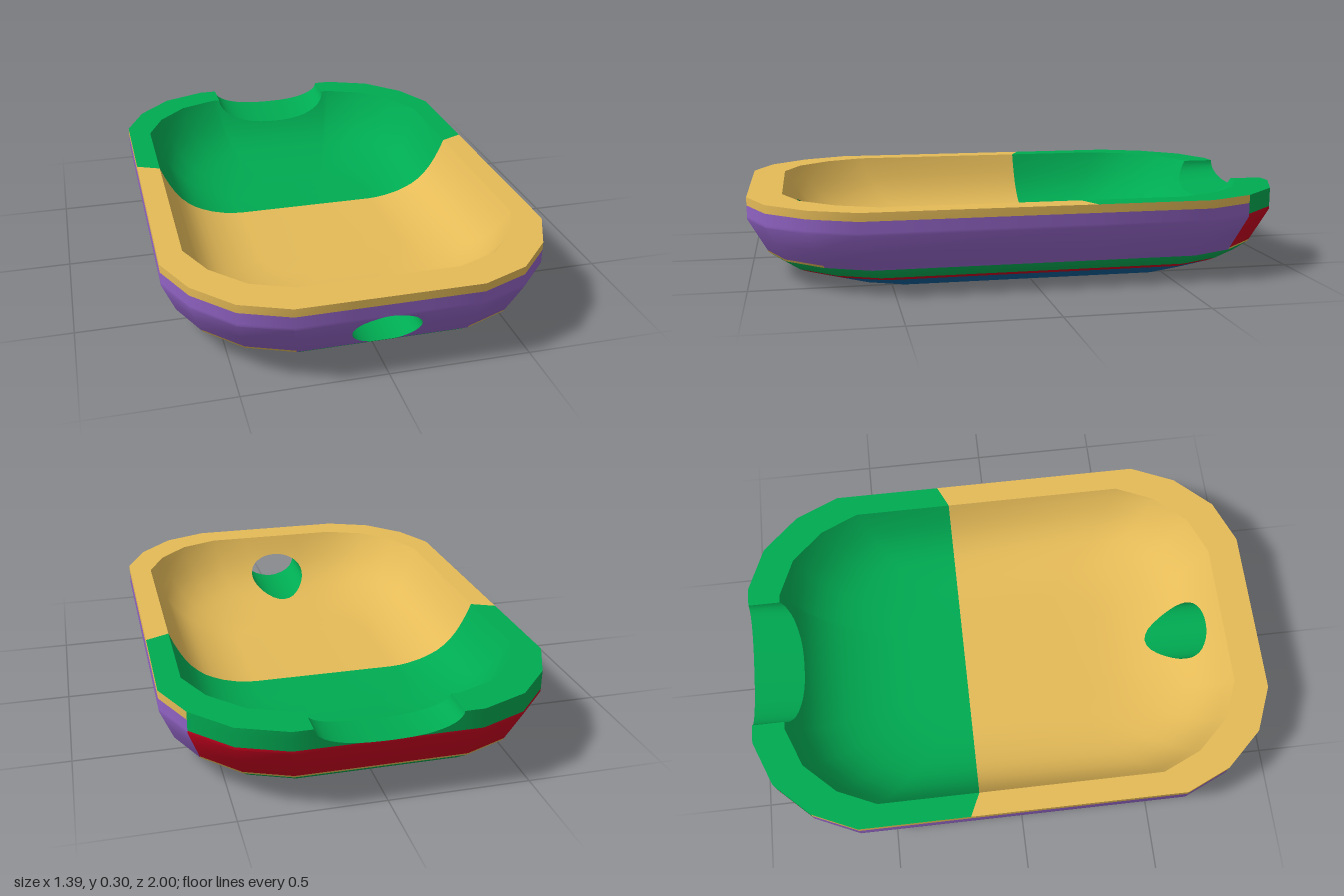
import * as THREE from 'three';
import { toCreasedNormals } from 'three/addons/utils/BufferGeometryUtils.js';

const palette = { tan: 0xe5bb58, green: 0x00ab52, purple: 0x9163c4, red: 0xcc0020, navy: 0x0e639c };
const names = Object.keys(palette);

// Profiles: [height, outline scale]
const outer = [[0, 0.735], [0.04, 0.85], [0.053, 0.88], [0.09, 0.93], [0.098, 0.934], [0.155, 0.965],
  [0.22, 1], [0.23, 1], [0.27, 1], [0.3, 1]];
const inner = [[0.3, 0.875], [0.26, 0.851], [0.22, 0.822], [0.185, 0.792], [0.155, 0.758], [0.13, 0.72], [0.11, 0.68],
  [0.095, 0.635], [0.08, 0.58], [0.068, 0.51], [0.062, 0.45], [0.06, 0.4]];

// Colours of the shell rows from the bottom up
const sideColors = ['navy', 'red', 'green', 'purple', 'purple', 'purple', 'purple', 'purple', 'tan'];
const cornerColors = ['navy', 'red', 'green', 'tan', 'purple', 'purple', 'purple', 'purple', 'tan'];
const backColors = ['navy', 'red', 'green', 'tan', 'red', 'red', 'red', 'green', 'green'];

const HOLE = { rx: 0.12, ry: 0.071, y: 0.155 };
const NOTCH = { half: 0.25, outerDepth: 0.073, innerDepth: 0.1 };
const SEAM = { outer: -0.2, inner: -0.16 };

// Outline columns, from the front centre round the left side to the back centre, then mirrored
function makeColumns() {
  const half = [];
  for (let j = 0; j <= 8; j++) {
    const a = j * Math.PI / 16;
    half.push({ x: HOLE.rx * Math.sin(a), z: 1, hole: HOLE.ry * Math.cos(a) });
  }
  for (const [x, z] of [[0.32, 1], [0.49, 0.93], [0.62, 0.79], [0.695, 0.62]]) half.push({ x, z });
  half.push({ x: 0.695, z: SEAM.inner, seam: true });
  for (const [x, z] of [[0.695, -0.62], [0.62, -0.79], [0.49, -0.93], [0.32, -1]]) half.push({ x, z });
  for (let j = 0; j <= 12; j++) {
    const t = j === 12 ? 0 : Math.cos(j * Math.PI / 24);
    half.push({ x: NOTCH.half * t, z: -1, drop: Math.sqrt(1 - t ** 2.5) });
  }
  const mirrored = half.slice(1, -1).reverse().map(c => ({ ...c, x: -c.x }));
  return [...half, ...mirrored];
}

function scaleAt(profile, y) {
  for (let i = 0; i < profile.length - 1; i++) {
    const [y0, s0] = profile[i], [y1, s1] = profile[i + 1];
    if ((y - y0) * (y - y1) <= 0) return s0 + (s1 - s0) * (y - y0) / (y1 - y0);
  }
  return profile[profile.length - 1][1];
}

// Surface point of a column at a height, cut down by the notch or kept off the hole
function pointAt(profile, col, y, branch = 0) {
  const inside = profile === inner;
  if (col.drop !== undefined) y = Math.min(y, 0.3 - col.drop * (inside ? NOTCH.innerDepth : NOTCH.outerDepth));
  if (branch < 0) y = Math.min(y, HOLE.y - col.hole);
  if (branch > 0) y = Math.max(y, HOLE.y + col.hole);
  const s = scaleAt(profile, y);
  let x = col.x * s, z = col.z * s;
  if (col.hole !== undefined) x = col.x;
  if (col.drop !== undefined) x = col.x * Math.min(1, s * 1.2);
  if (col.seam) z = inside ? SEAM.inner : SEAM.outer;
  return [x, y, z];
}

// Collects quads by colour and turns them into one creased mesh
class Surface {
  constructor() { this.tris = Object.fromEntries(names.map(n => [n, []])); }

  tri(color, a, b, c) {
    const v = [a, b, c].map(p => new THREE.Vector3(...p));
    const area = v[1].clone().sub(v[0]).cross(v[2].clone().sub(v[0])).length();
    if (area > 1e-9) this.tris[color].push(...a, ...b, ...c);
  }

  quad(color, a, b, c, d) {
    this.tri(color, a, b, c);
    this.tri(color, a, c, d);
  }

  mesh(name, materials) {
    const used = names.filter(n => this.tris[n].length);
    const positions = used.flatMap(n => this.tris[n]);
    let geometry = new THREE.BufferGeometry();
    geometry.setAttribute('position', new THREE.Float32BufferAttribute(positions, 3));
    geometry = toCreasedNormals(geometry, 0.62);
    let start = 0;
    used.forEach((n, i) => {
      const count = this.tris[n].length / 3;
      geometry.addGroup(start, count, i);
      start += count;
    });
    const mats = used.map(n => materials[n]);
    const mesh = new THREE.Mesh(geometry, mats.length === 1 ? mats[0] : mats);
    mesh.name = name;
    return mesh;
  }
}

export function createModel() {
  const group = new THREE.Group();
  group.name = 'tray';
  const materials = {};
  for (const n of names) {
    materials[n] = new THREE.MeshStandardMaterial({ color: palette[n] });
    materials[n].name = n;
  }

  const cols = makeColumns();
  const n = cols.length;
  const midZ = i => (cols[i].z + cols[(i + 1) % n].z) / 2;
  const basinColor = i => (midZ(i) < SEAM.inner ? 'green' : 'tan');
  const shellColors = i => {
    if (midZ(i) < -0.79) return backColors;
    return midZ(i) > 0.79 && midZ(i) < 1 ? cornerColors : sideColors;
  };

  // Walls between the rows of a profile, above and below the hole where there is one
  function loft(surface, profile, colorOf) {
    for (let r = 0; r < profile.length - 1; r++) {
      const y0 = profile[r][0], y1 = profile[r + 1][0];
      for (let i = 0; i < n; i++) {
        const a = cols[i], b = cols[(i + 1) % n];
        const holed = a.hole !== undefined && b.hole !== undefined;
        for (const br of holed ? [-1, 1] : [0]) {
          surface.quad(colorOf(i, r), pointAt(profile, a, y0, br), pointAt(profile, b, y0, br),
            pointAt(profile, b, y1, br), pointAt(profile, a, y1, br));
        }
      }
    }
  }

  // Flat cap made of strips from the left side to the right side
  function cap(surface, profile, y, up, colorOf) {
    const p = i => pointAt(profile, cols[i % n], y);
    for (let i = 0; i < n / 2; i++) {
      const q = [p(i), p(i + 1), p(n - i - 1), p(n - i)];
      if (!up) q.reverse();
      surface.quad(colorOf(i), ...q);
    }
  }

  // Outer shell with its underside
  const shell = new Surface();
  loft(shell, outer, (i, r) => shellColors(i)[r]);
  cap(shell, outer, 0, false, () => 'navy');
  group.add(shell.mesh('outerShell', materials));

  // Rim, dipping into the notch at the back
  const rim = new Surface();
  for (let i = 0; i < n; i++) {
    const a = cols[i], b = cols[(i + 1) % n];
    rim.quad(basinColor(i), pointAt(outer, a, 0.3), pointAt(outer, b, 0.3),
      pointAt(inner, b, 0.3), pointAt(inner, a, 0.3));
  }
  group.add(rim.mesh('rim', materials));

  // Hollow basin and floor
  const basin = new Surface();
  loft(basin, inner, basinColor);
  cap(basin, inner, 0.06, true, basinColor);
  group.add(basin.mesh('basin', materials));

  // Lining of the oval hole through the front wall
  const tunnel = new Surface();
  for (let i = 0; i < n; i++) {
    const a = cols[i], b = cols[(i + 1) % n];
    if (a.hole === undefined || b.hole === undefined) continue;
    for (const br of [-1, 1]) {
      const y = HOLE.y;
      const q = [pointAt(outer, a, y, br), pointAt(outer, b, y, br), pointAt(inner, b, y, br), pointAt(inner, a, y, br)];
      if (br > 0) q.reverse();
      tunnel.quad('green', ...q);
    }
  }
  group.add(tunnel.mesh('frontHole', materials));

  return group;
}
